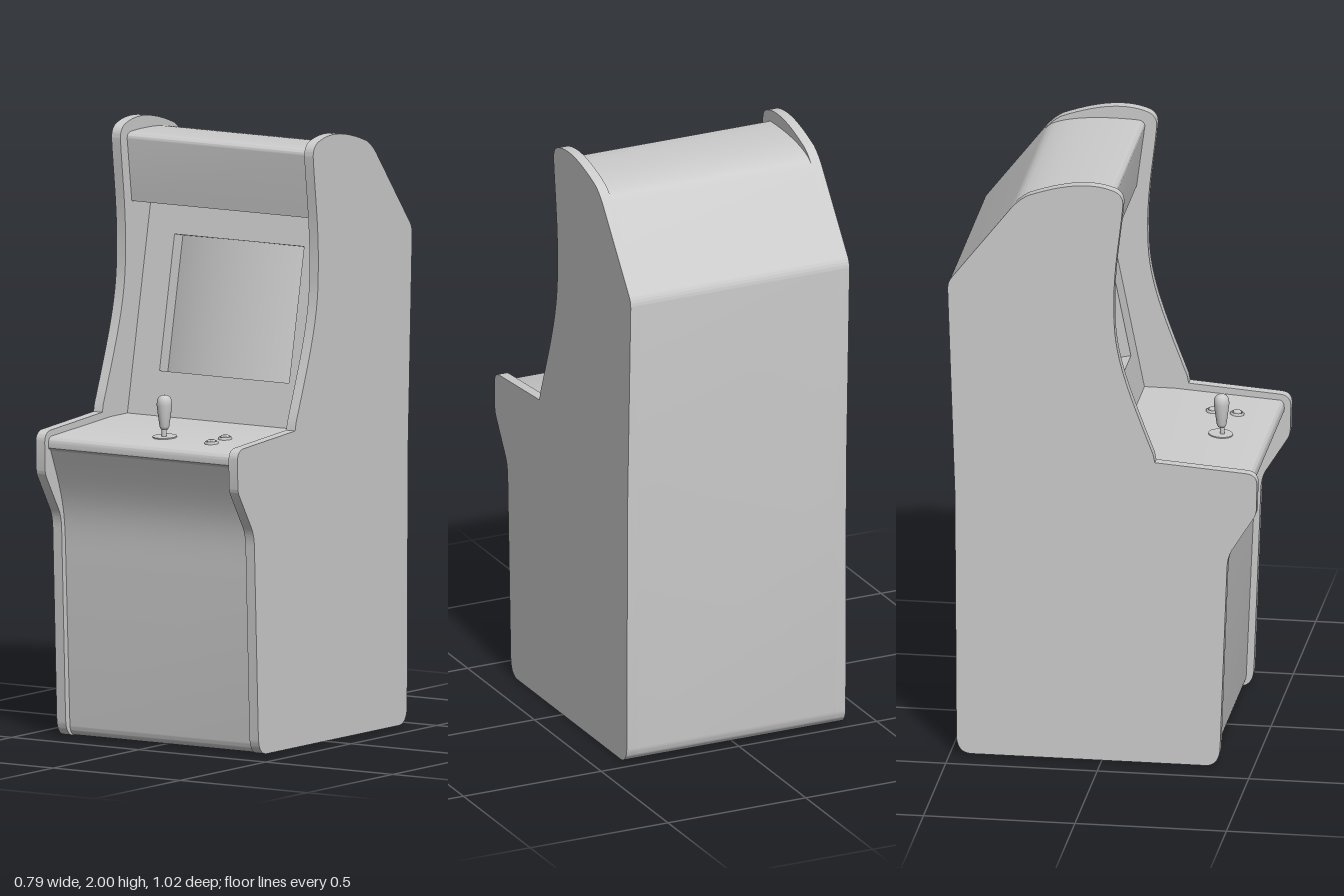
import * as THREE from 'three';
import { toCreasedNormals } from 'three/addons/utils/BufferGeometryUtils.js';

const grey = new THREE.MeshStandardMaterial({ color: 0xcccccc });
grey.name = 'plain grey';

function addMesh(parent, name, geometry, x = 0, y = 0, z = 0) {
  const mesh = new THREE.Mesh(geometry, grey);
  mesh.name = name;
  mesh.position.set(x, y, z);
  parent.add(mesh);
  return mesh;
}

// Extrudes a (z, y) profile along x, centred on x = 0
function slab(shape, width) {
  const g = new THREE.ExtrudeGeometry(shape, { depth: width, bevelEnabled: false, curveSegments: 14 });
  g.translate(0, 0, -width / 2);
  g.rotateY(-Math.PI / 2);
  return toCreasedNormals(g, 0.5);
}

// Sloped back, shared by side panels and body so that they sit flush
function backAndBase(s) {
  s.lineTo(-0.495, 1.655);
  s.quadraticCurveTo(-0.51, 1.637, -0.509, 1.61);
  s.lineTo(-0.485, 0.9);
  s.lineTo(-0.48, 0.06);
  s.quadraticCurveTo(-0.478, 0, -0.43, 0);
}

function sideProfile() {
  const s = new THREE.Shape();
  s.moveTo(0.34, 0);
  s.quadraticCurveTo(0.387, 0, 0.39, 0.06);
  s.lineTo(0.413, 0.69);
  s.quadraticCurveTo(0.415, 0.73, 0.43, 0.755);
  s.lineTo(0.502, 0.87);
  s.quadraticCurveTo(0.51, 0.885, 0.51, 0.9);
  s.lineTo(0.512, 0.985);
  s.quadraticCurveTo(0.512, 1.02, 0.475, 1.023);
  s.lineTo(0.175, 1.045);
  s.lineTo(0.17, 1.07);
  s.bezierCurveTo(0.09, 1.28, 0.04, 1.4, 0.04, 1.55);
  s.bezierCurveTo(0.035, 1.7, 0.06, 1.82, 0.069, 1.93);
  s.quadraticCurveTo(0.073, 1.968, 0.04, 1.982);
  s.bezierCurveTo(-0.03, 2.008, -0.12, 2.0, -0.245, 1.952);
  s.quadraticCurveTo(-0.275, 1.935, -0.3, 1.905);
  backAndBase(s);
  return s;
}

function bodyProfile() {
  const s = new THREE.Shape();
  s.moveTo(0.33, 0);
  s.quadraticCurveTo(0.363, 0, 0.365, 0.04);
  // Kick panel curling out under the control deck
  s.lineTo(0.39, 0.62);
  s.bezierCurveTo(0.395, 0.76, 0.41, 0.8, 0.477, 0.955);
  s.lineTo(0.49, 0.965);
  s.quadraticCurveTo(0.493, 1.0, 0.475, 1.002);
  // Control deck and space behind the bezel
  s.lineTo(0.127, 1.025);
  s.lineTo(-0.06, 1.025);
  s.lineTo(-0.2, 1.71);
  // Marquee
  s.lineTo(0.003, 1.722);
  s.lineTo(0.03, 1.93);
  s.quadraticCurveTo(0.031, 1.948, 0.01, 1.952);
  s.bezierCurveTo(-0.08, 1.958, -0.2, 1.955, -0.265, 1.93);
  s.quadraticCurveTo(-0.285, 1.923, -0.3, 1.905);
  backAndBase(s);
  return s;
}

export function createModel() {
  const model = new THREE.Group();
  model.name = 'arcadeCabinet';

  addMesh(model, 'body', slab(bodyProfile(), 0.724));
  for (const [name, side] of [['leftSidePanel', 1], ['rightSidePanel', -1]]) {
    addMesh(model, name, slab(sideProfile(), 0.035), side * 0.3795);
  }

  // Tilted bezel with a recessed, gently curved screen
  const display = new THREE.Group();
  display.name = 'display';
  display.position.set(0, 1.37, -0.04);
  display.rotation.x = -0.197;
  model.add(display);

  const frame = new THREE.Shape();
  frame.moveTo(-0.362, -0.362).lineTo(0.362, -0.362).lineTo(0.362, 0.362).lineTo(-0.362, 0.362);
  const hole = new THREE.Path();
  hole.moveTo(-0.255, -0.204).lineTo(-0.255, 0.245).lineTo(0.255, 0.245).lineTo(0.255, -0.204);
  frame.holes.push(hole);
  const bezel = new THREE.ExtrudeGeometry(frame, { depth: 0.055, bevelEnabled: false });
  addMesh(display, 'bezel', bezel, 0, 0, -0.055);
  const radius = 0.8;
  const screen = new THREE.CylinderGeometry(radius, radius, 0.46, 28, 1, true, -0.33, 0.66);
  addMesh(display, 'screen', screen, 0, 0.02, -radius - 0.008);

  // Controls share the slope of the deck
  const controls = new THREE.Group();
  controls.name = 'controls';
  model.add(controls);
  const turned = (points) => new THREE.LatheGeometry(points.map(([r, y]) => new THREE.Vector2(r, y)), 28);

  const plate = addMesh(controls, 'joystickPlate', new THREE.CylinderGeometry(0.04, 0.04, 0.006, 32), -0.008, 1.012, 0.335);
  plate.rotation.x = 0.066;
  addMesh(controls, 'joystickShaft', new THREE.CylinderGeometry(0.008, 0.008, 0.05, 16), -0.008, 1.032, 0.34);
  const handle = turned([
    [0, 0], [0.012, 0.001], [0.016, 0.01], [0.021, 0.045], [0.0255, 0.08],
    [0.0245, 0.097], [0.018, 0.108], [0.009, 0.113], [0, 0.114],
  ]);
  addMesh(controls, 'joystickHandle', handle, -0.008, 1.037, 0.338);

  for (const z of [0.28, 0.36]) {
    const deckY = 1.025 - (z - 0.127) * 0.066;
    const button = new THREE.Group();
    button.name = 'button';
    button.position.set(0.192, deckY, z);
    button.rotation.x = 0.066;
    controls.add(button);
    addMesh(button, 'buttonRing', turned([[0.023, -0.01], [0.023, 0.004], [0.019, 0.008], [0.016, 0.006], [0.015, 0]]));
    addMesh(button, 'buttonCap', turned([[0.0145, -0.01], [0.0145, 0.009], [0.012, 0.012], [0, 0.013]]));
  }

  return model;
}
